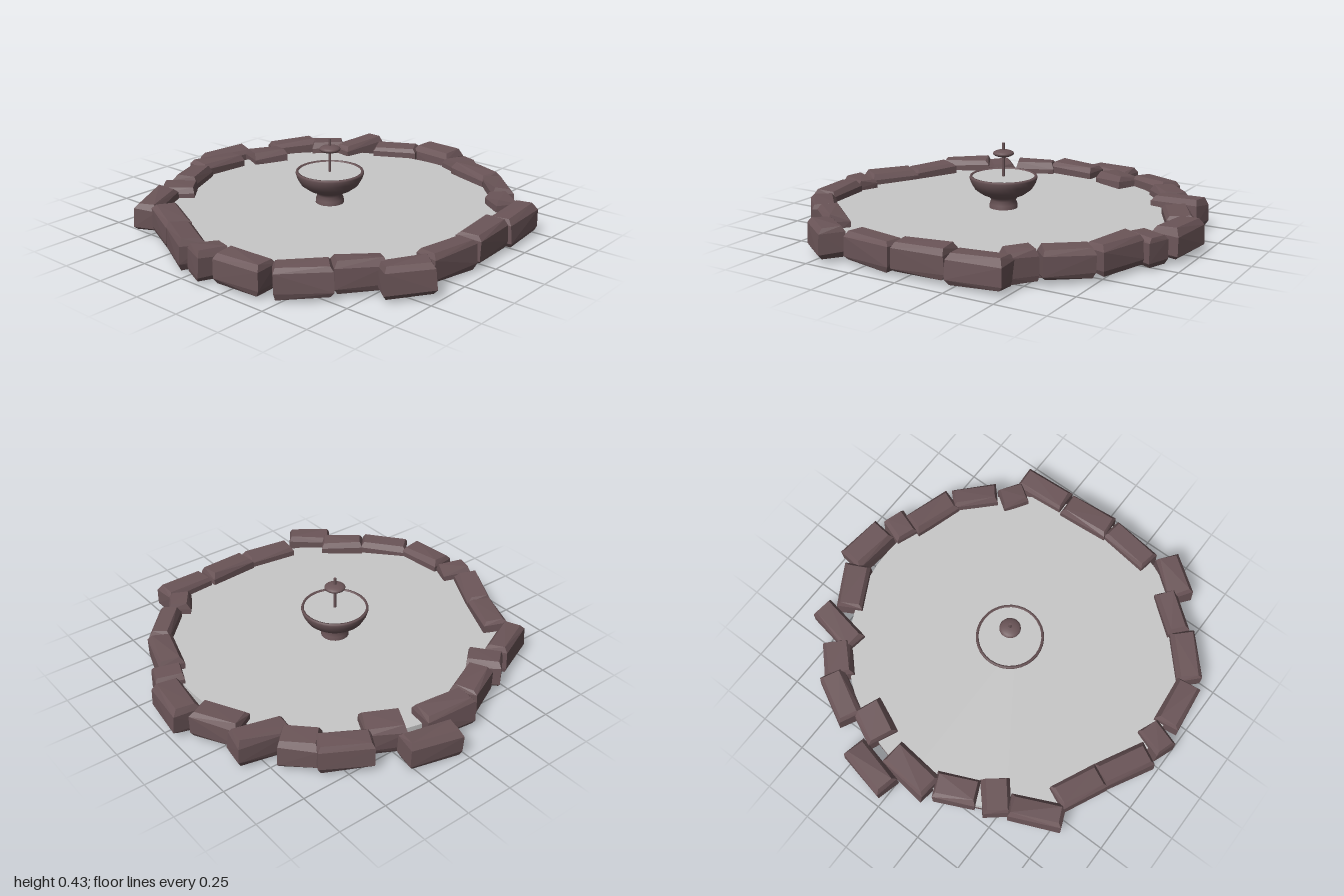
import * as THREE from 'three';
import { ConvexGeometry } from 'three/addons/geometries/ConvexGeometry.js';

// x, z, length, width, angle in degrees for each rim stone
const STONES = [
  [0.135, -0.88, 0.28, 0.135, 13], [-0.04, -0.775, 0.28, 0.15, 6], [0.26, -0.69, 0.2, 0.17, 25],
  [0.48, -0.69, 0.27, 0.14, 28], [0.62, -0.545, 0.19, 0.16, 45], [0.735, -0.405, 0.28, 0.13, 10],
  [0.81, -0.19, 0.25, 0.15, 62], [0.905, 0.035, 0.26, 0.15, 97], [0.835, 0.225, 0.15, 0.13, 20],
  [0.75, 0.39, 0.27, 0.14, 108], [0.625, 0.605, 0.25, 0.12, 135], [0.465, 0.73, 0.14, 0.13, 125],
  [0.35, 0.865, 0.28, 0.14, -4], [0.07, 0.875, 0.28, 0.14, -4], [-0.205, 0.87, 0.29, 0.13, 8],
  [-0.49, 0.86, 0.24, 0.14, 37], [-0.595, 0.685, 0.24, 0.12, 38], [-0.785, 0.535, 0.27, 0.14, 48],
  [-0.895, 0.295, 0.26, 0.14, 84], [-0.91, 0.085, 0.16, 0.13, 20], [-0.86, -0.12, 0.28, 0.14, -62],
  [-0.745, -0.345, 0.26, 0.14, -65], [-0.65, -0.565, 0.28, 0.13, -25], [-0.45, -0.625, 0.18, 0.16, 50],
  [-0.275, -0.715, 0.22, 0.15, -25],
];

function seeded(seed) {
  return () => {
    seed = (seed * 16807) % 2147483647;
    return seed / 2147483647;
  };
}

// Hewn block: hull of four jittered rectangular levels, bevelled at top and bottom
function stoneGeometry(length, width, rand) {
  const levels = [[-0.07, 0.9, 0.82], [-0.048, 1, 1], [0.042, 0.99, 0.97], [0.07, 0.88, 0.68]];
  const points = [];
  for (const [y, sx, sz] of levels) {
    for (const [cx, cz] of [[-1, -1], [1, -1], [1, 1], [-1, 1]]) {
      points.push(new THREE.Vector3(
        cx * length / 2 * sx * (1 - 0.07 * rand()),
        y + (rand() - 0.5) * 0.014,
        cz * width / 2 * sz * (1 - 0.13 * rand())));
    }
  }
  return new ConvexGeometry(points);
}

export function createModel() {
  const group = new THREE.Group();
  const stone = new THREE.MeshStandardMaterial({ color: 0x6b5558 });
  stone.name = 'stone';
  const water = new THREE.MeshStandardMaterial({ color: 0xc8c8c8 });
  water.name = 'water';

  const add = (name, geometry, material, x, y, z, parent = group) => {
    const mesh = new THREE.Mesh(geometry, material);
    mesh.name = name;
    mesh.position.set(x, y, z);
    parent.add(mesh);
    return mesh;
  };

  // Pond floor and water
  add('pondFloor', new THREE.CylinderGeometry(0.855, 0.855, 0.03, 64), stone, -0.05, 0.04, 0.065);
  add('pondWater', new THREE.CylinderGeometry(0.855, 0.855, 0.05, 64), water, -0.05, 0.08, 0.065);

  // Ring of rim stones
  const rim = new THREE.Group();
  rim.name = 'stoneRim';
  group.add(rim);
  const rand = seeded(4711);
  STONES.forEach(([x, z, length, width, angle], i) => {
    const y = i === 0 ? 0.075 : 0.092 + (rand() - 0.5) * 0.01;
    const block = add('rimStone', stoneGeometry(length, width, rand), stone, x, y, z, rim);
    block.rotation.set((rand() - 0.5) * 0.08, -THREE.MathUtils.degToRad(angle), (rand() - 0.5) * 0.06);
  });

  // Fountain
  const fountain = new THREE.Group();
  fountain.name = 'fountain';
  fountain.position.set(-0.035, 0, 0.037);
  group.add(fountain);

  // Bowl on a flared foot
  const bowl = [[0.072, 0.09], [0.07, 0.125], [0.062, 0.145], [0.075, 0.163], [0.11, 0.178],
    [0.145, 0.204], [0.163, 0.235], [0.171, 0.26], [0.168, 0.27], [0.158, 0.27], [0.155, 0.255]];
  add('bowl', new THREE.LatheGeometry(bowl.map(([r, y]) => new THREE.Vector2(r, y)), 32),
    stone, 0, 0, 0, fountain);
  add('bowlWater', new THREE.CircleGeometry(0.158, 32).rotateX(-Math.PI / 2), water, 0, 0.264, 0, fountain);

  // Stem and small upper dish
  add('stem', new THREE.CylinderGeometry(0.007, 0.007, 0.175, 8), stone, 0, 0.3475, 0, fountain);
  add('upperDish', new THREE.SphereGeometry(0.053, 20, 10).scale(1, 0.34, 1), stone, 0, 0.382, 0, fountain);

  return group;
}
